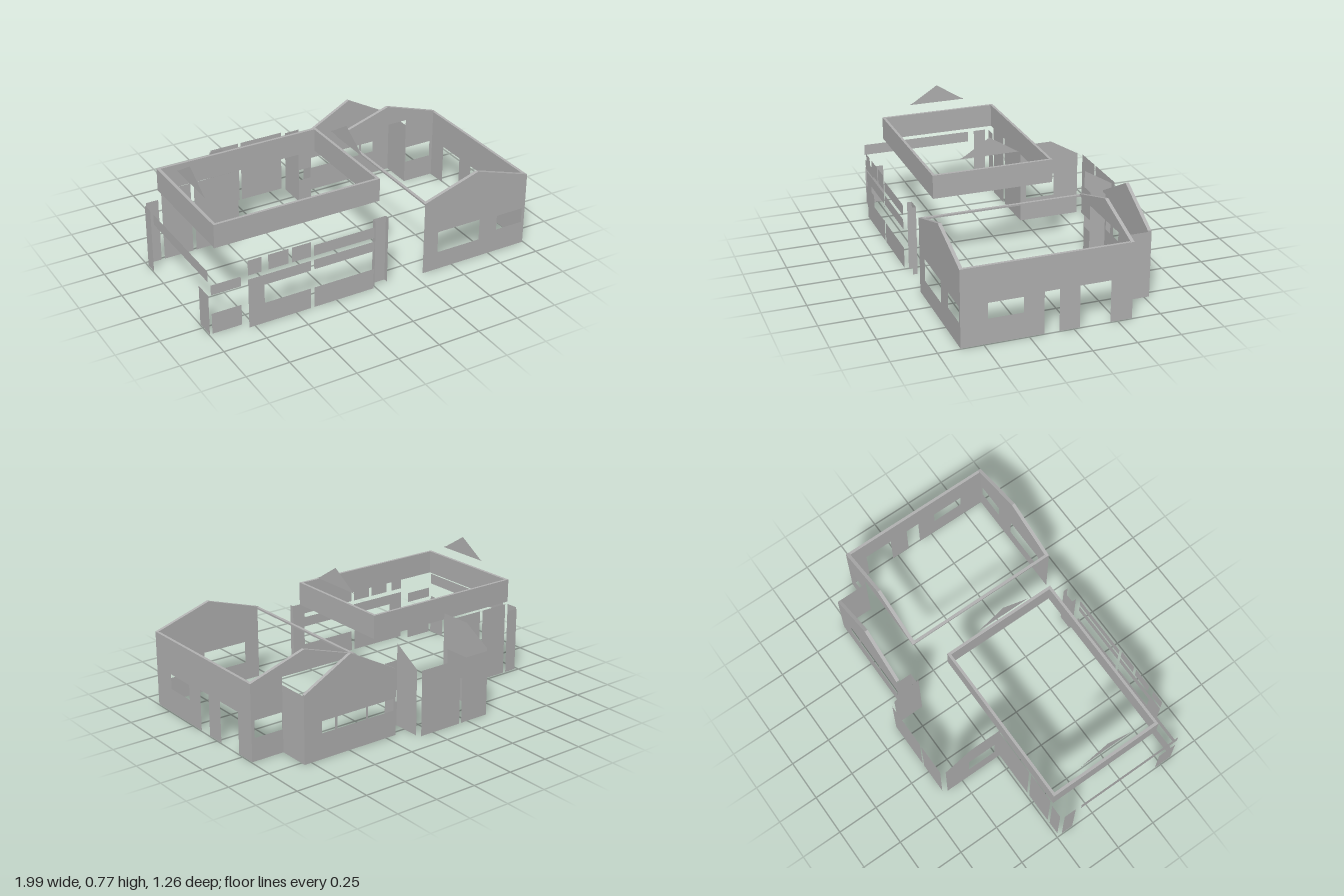
import * as THREE from 'three';

export function createModel() {
  const model = new THREE.Group();
  const plaster = new THREE.MeshStandardMaterial({ color: 0xb2b2b2, side: THREE.DoubleSide });
  plaster.name = 'grey plaster';

  const toPath = (pts, P) => new P(pts.map(([a, b]) => new THREE.Vector2(a, b)));
  const rect = (a0, a1, b0, b1) => [[a0, b0], [a1, b0], [a1, b1], [a0, b1]];

  function add(name, geometry) {
    const mesh = new THREE.Mesh(geometry, plaster);
    mesh.name = name;
    model.add(mesh);
    return mesh;
  }
  function sheet(points, holes) {
    const s = toPath(points, THREE.Shape);
    holes.forEach(h => s.holes.push(toPath(rect(...h), THREE.Path)));
    return new THREE.ShapeGeometry(s);
  }
  // Sheet facing along z: points are (x, y)
  const wallZ = (name, z, points, ...holes) => add(name, sheet(points, holes).translate(0, 0, z));
  // Sheet facing along x: points are (z, y)
  const wallX = (name, x, points, ...holes) => {
    const flipped = sheet(points.map(([z, y]) => [-z, y]), holes.map(([a, b, c, d]) => [-b, -a, c, d]));
    return add(name, flipped.rotateY(Math.PI / 2).translate(x, 0, 0));
  };
  const block = (name, x0, x1, y0, y1, z0, z1) => add(name,
    new THREE.BoxGeometry(x1 - x0, y1 - y0, z1 - z0).translate((x0 + x1) / 2, (y0 + y1) / 2, (z0 + z1) / 2));
  const gable = (name, x0, x1, y, peak, z) => {
    const s = toPath([[x0, y], [x1, y], [x1, y + 0.01], [(x0 + x1) / 2, peak], [x0, y + 0.01]], THREE.Shape);
    return add(name, new THREE.ExtrudeGeometry(s, { depth: 0.02, bevelEnabled: false }).translate(0, 0, z));
  };

  // Gabled hall: walls, thick gables and eave rails
  wallZ('hallFrontWall', 0.625, rect(0.305, 0.995, 0, 0.44), [0.4, 0.68, 0.11, 0.24], [0.8, 0.975, 0.14, 0.23]);
  wallX('hallSideWall', 0.995, [[0.625, 0], [0.625, 0.44], [-0.335, 0.44], [-0.335, 0], [-0.21, 0], [-0.21, 0.245],
    [-0.035, 0.245], [-0.035, 0], [0.08, 0], [0.08, 0.245], [0.165, 0.245], [0.165, 0]], [0.28, 0.475, 0.145, 0.235]);
  wallZ('hallBackWall', -0.335, rect(0.795, 0.995, 0, 0.44), [0.8, 0.975, 0.135, 0.235]);
  gable('hallFrontGable', 0.305, 0.995, 0.436, 0.556, 0.606);
  gable('hallBackGable', 0.305, 0.995, 0.436, 0.556, -0.335);
  block('hallInnerRail', 0.305, 0.322, 0.436, 0.446, -0.315, 0.606);
  block('hallOuterRail', 0.978, 0.995, 0.436, 0.446, -0.315, 0.606);

  // Rear bay with its own gable
  wallZ('bayBackWall', -0.53, rect(0.185, 0.795, 0, 0.39),
    [0.2, 0.375, 0.15, 0.22], [0.39, 0.58, 0.15, 0.22], [0.595, 0.68, 0.15, 0.22]);
  gable('bayGable', 0.19, 0.79, 0.385, 0.556, -0.53);
  wallX('bayOuterWall', 0.795, rect(-0.53, -0.335, 0, 0.39));
  wallX('bayInnerWall', 0.185, rect(-0.53, -0.435, 0, 0.39));
  wallZ('linkWall', -0.435, rect(0.1, 0.185, 0, 0.39), [0.102, 0.183, 0.145, 0.215]);

  // Rear extension with sloping side walls
  wallX('extensionInnerWall', 0.1, [[-0.605, 0], [-0.435, 0], [-0.435, 0.49], [-0.605, 0.39]]);
  wallX('extensionOuterWall', -0.408, [[-0.605, 0], [-0.235, 0], [-0.235, 0.49], [-0.43, 0.49], [-0.605, 0.39]],
    [-0.45, -0.27, 0.14, 0.28]);
  for (const [a, b] of [[-0.39, -0.205], [-0.19, 0.085]]) wallZ('extensionBackPanel', -0.63, rect(a, b, 0, 0.387));

  // Rear wall panels of the main house
  for (const [a, b, h] of [[-0.98, -0.905, 0.39], [-0.885, -0.705, 0.44], [-0.685, -0.408, 0.44]])
    wallZ('houseBackPanel', -0.235, rect(a, b, 0, h));

  // Front wall panels of the main house
  wallZ('frontLeftPanel', 0.62, rect(-0.785, -0.41, 0, 0.3), [-0.69, -0.411, 0.125, 0.238]);
  for (const [a, b] of [[-0.785, -0.705], [-0.665, -0.545], [-0.525, -0.41]])
    wallZ('frontUpperPanel', 0.62, rect(a, b, 0.325, 0.415));
  for (const [c, d] of [[0, 0.125], [0.24, 0.3], [0.325, 0.39]])
    wallZ('frontStrip', 0.62, rect(-0.39, -0.015, c, d));
  for (const [c, d] of [[0, 0.125], [0.24, 0.3]])
    wallZ('cornerStrip', 0.575, rect(-0.98, -0.805, c, d));

  // End wall panels of the main house
  wallX('endFrontPanel', -0.995, rect(0.46, 0.575, 0, 0.24));
  wallX('endBackPanel', -0.995, rect(-0.215, -0.14, 0, 0.39));
  wallX('endTopStrip', -0.995, rect(-0.1, 0.575, 0.325, 0.39));

  // Open channel post beside the entrance
  wallZ('postBack', 0.573, rect(0.003, 0.085, 0, 0.41));
  for (const x of [0.003, 0.085]) wallX('postSide', x, rect(0.573, 0.6, 0, 0.41));

  // Parapet ring above the main house
  for (const x of [-0.905, 0.085]) block('parapetSide', x, x + 0.017, 0.452, 0.59, -0.233, 0.478);
  for (const z of [-0.233, 0.462]) block('parapetEnd', -0.888, 0.085, 0.452, 0.59, z, z + 0.016);

  // Small triangular gable infills
  for (const x of [-0.87, 0.088])
    wallX('gableInfill', x, [[0.315, 0.66], [-0.035, 0.66], [-0.01, 0.672], [0.14, 0.767], [0.29, 0.672]]);

  return model;
}
